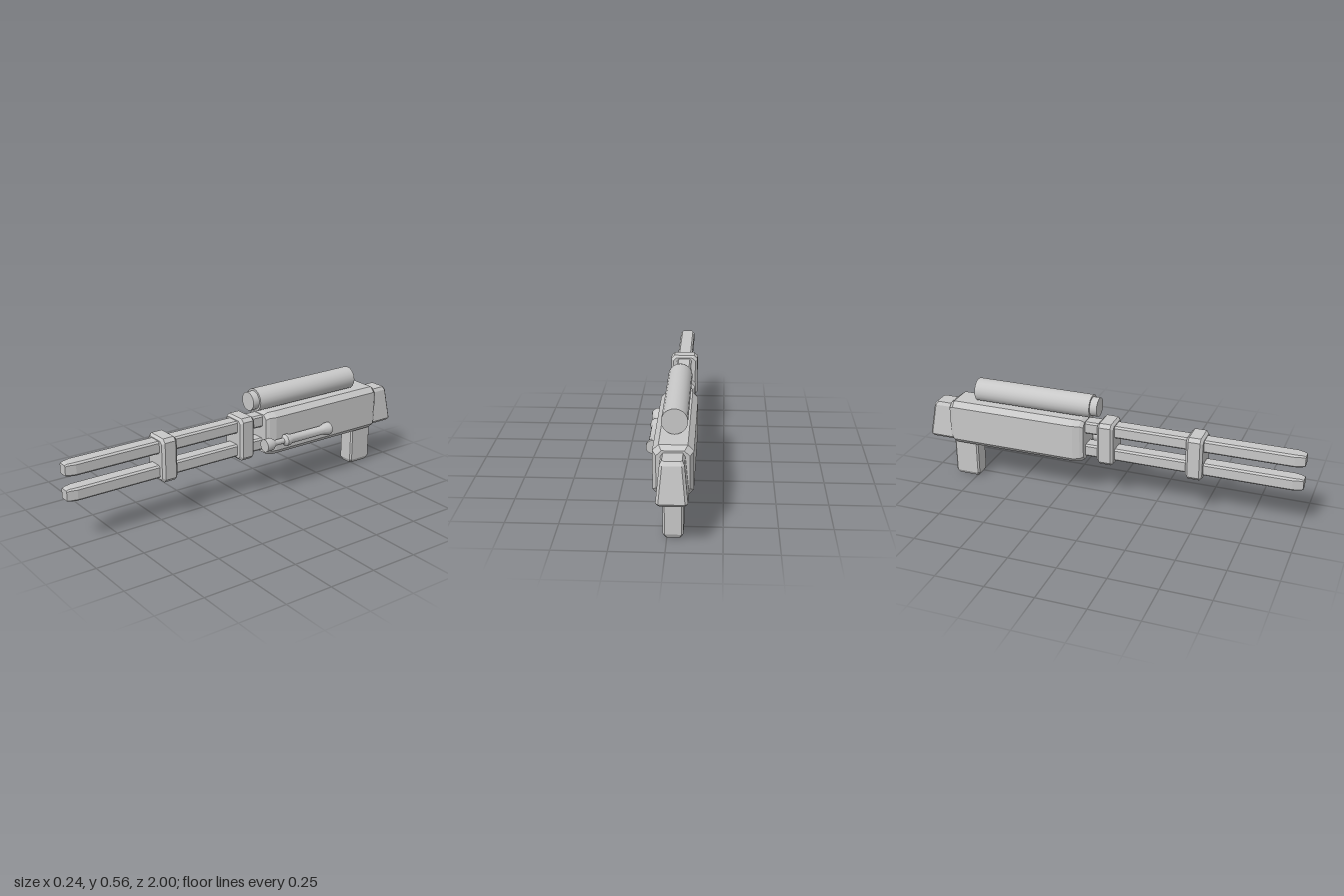
import * as THREE from 'three';
import { toCreasedNormals } from 'three/addons/utils/BufferGeometryUtils.js';

const CX = -0.028; // centre line of the main assembly

// Loft of chamfered rectangles. Section: [t, halfWidth, low, high, chamfer].
// axis 'z': low/high are y. axis 'y': low/high are z.
function loft(sections, axis = 'z') {
  const rings = sections.map(([t, w, lo, hi, c]) => [
    [w, lo + c], [w, hi - c], [w - c, hi], [c - w, hi],
    [-w, hi - c], [-w, lo + c], [c - w, lo], [w - c, lo],
  ].map(([x, v]) => (axis === 'z' ? [x + CX, v, t] : [x + CX, t, v])));
  const pos = [];
  const tri = (a, b, c) => (axis === 'z' ? pos.push(...a, ...b, ...c) : pos.push(...a, ...c, ...b));
  for (let k = 0; k < rings.length - 1; k++) {
    const a = rings[k], b = rings[k + 1];
    for (let i = 0; i < 8; i++) {
      const j = (i + 1) % 8;
      tri(a[i], a[j], b[j]);
      tri(a[i], b[j], b[i]);
    }
  }
  const first = rings[0], last = rings[rings.length - 1];
  for (let i = 1; i < 7; i++) {
    tri(first[0], first[i + 1], first[i]);
    tri(last[0], last[i], last[i + 1]);
  }
  const geo = new THREE.BufferGeometry();
  geo.setAttribute('position', new THREE.Float32BufferAttribute(pos, 3));
  geo.computeVertexNormals();
  return geo;
}

// Round part turned about the z direction. Profile: [radius, z], from back to front.
function turned(profile, x, y, sides) {
  const geo = new THREE.LatheGeometry(profile.map(([r, z]) => new THREE.Vector2(r, z)), sides);
  geo.rotateX(Math.PI / 2);
  geo.translate(x, y, 0);
  return toCreasedNormals(geo, 0.6);
}

export function createModel() {
  const model = new THREE.Group();
  const metal = new THREE.MeshStandardMaterial({ color: 0xc8c8c8 });
  metal.name = 'grey metal';
  const add = (name, geo) => {
    const mesh = new THREE.Mesh(geo, metal);
    mesh.name = name;
    model.add(mesh);
  };

  // Receiver with bevelled ends
  add('body', loft([
    [-0.87, 0.074, 0.222, 0.422, 0.024],
    [-0.845, 0.091, 0.203, 0.44, 0.027],
    [-0.17, 0.091, 0.203, 0.44, 0.027],
    [-0.135, 0.08, 0.207, 0.437, 0.025],
    [-0.118, 0.07, 0.218, 0.425, 0.022],
  ]));

  // Rear block, narrowing upwards
  add('stock', loft([
    [0.215, 0.06, -0.99, -0.85, 0.01],
    [0.228, 0.07, -1.0, -0.85, 0.012],
    [0.395, 0.054, -0.974, -0.85, 0.012],
    [0.412, 0.044, -0.96, -0.855, 0.01],
  ], 'y'));

  // Handle under the rear of the body
  add('grip', loft([
    [0, 0.033, -0.86, -0.745, 0.006],
    [0.02, 0.046, -0.87, -0.735, 0.008],
    [0.23, 0.046, -0.87, -0.735, 0.008],
  ], 'y'));

  // Twin barrels with narrowed tips
  for (const [name, y] of [['upperBarrel', 0.389], ['lowerBarrel', 0.262]]) {
    add(name, loft([
      [-0.15, 0.039, y - 0.033, y + 0.033, 0.009],
      [0.95, 0.039, y - 0.033, y + 0.033, 0.009],
      [0.985, 0.03, y - 0.031, y + 0.031, 0.007],
      [1.0, 0.026, y - 0.026, y + 0.026, 0.005],
    ]));
  }

  // Clamps holding the barrels together
  for (const [name, z] of [['rearClamp', -0.003], ['frontClamp', 0.462]]) {
    add(name, loft([
      [z - 0.043, 0.06, 0.222, 0.426, 0.015],
      [z - 0.03, 0.072, 0.21, 0.438, 0.018],
      [z + 0.03, 0.072, 0.21, 0.438, 0.018],
      [z + 0.043, 0.06, 0.222, 0.426, 0.015],
    ]));
  }

  // Sight tube with a stepped front
  add('scope', turned([
    [0, -0.725], [0.06, -0.725], [0.06, -0.09], [0.049, -0.09], [0.049, -0.053], [0, -0.053],
  ], CX, 0.5, 20));

  // Slim rod on the side, with flared ends
  add('sideRod', turned([
    [0, -0.507], [0.034, -0.507], [0.034, -0.487], [0.024, -0.455], [0.024, -0.25],
    [0.031, -0.23], [0.031, -0.212], [0.015, -0.198], [0.015, -0.145],
    [0.032, -0.12], [0.034, -0.077], [0, -0.077],
  ], 0.083, 0.285, 18));

  return model;
}
